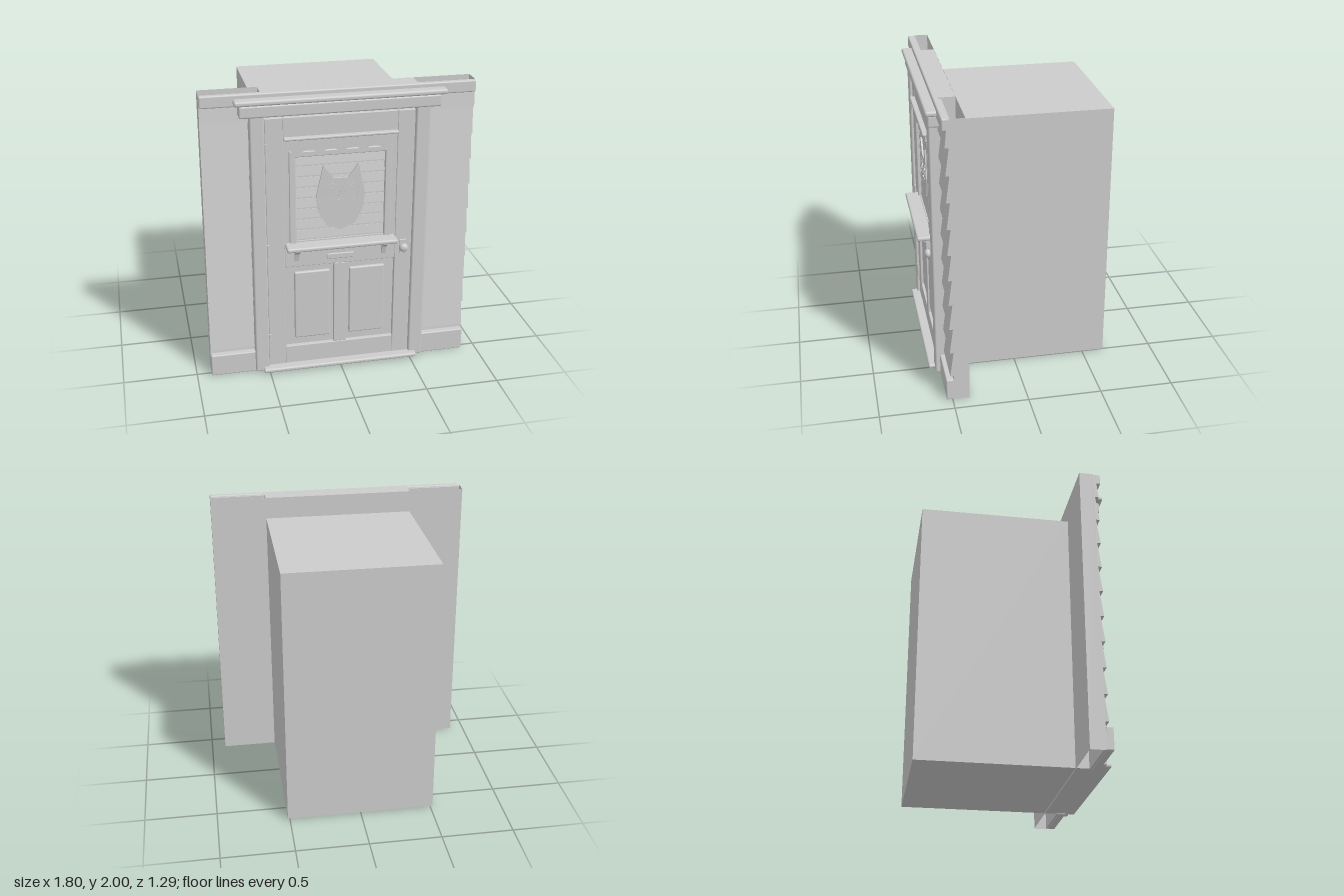
import * as THREE from 'three';
import { RoundedBoxGeometry } from 'three/addons/geometries/RoundedBoxGeometry.js';

export function createModel() {
  const root = new THREE.Group();
  const grey = new THREE.MeshStandardMaterial({ color: 0xcccccc, side: THREE.DoubleSide });
  grey.name = 'plain grey';

  const add = (name, geo) => {
    const m = new THREE.Mesh(geo, grey);
    m.name = name;
    root.add(m);
    return m;
  };
  // boxes given by their limits; r rounds the edges
  const box = (name, x0, x1, y0, y1, z0, z1, r = 0) => {
    const s = [x1 - x0, y1 - y0, z1 - z0];
    const geo = r ? new RoundedBoxGeometry(...s, 2, r) : new THREE.BoxGeometry(...s);
    geo.translate((x0 + x1) / 2, (y0 + y1) / 2, (z0 + z1) / 2);
    return add(name, geo);
  };
  const plate = (name, shape, z, depth) =>
    add(name, new THREE.ExtrudeGeometry(shape, { depth, bevelEnabled: false, curveSegments: 8 }).translate(0, 0, z));
  // (z, y) profile swept along x
  const sweepX = (name, pts, x0, x1) => {
    const geo = new THREE.ExtrudeGeometry(new THREE.Shape(pts.map(p => new THREE.Vector2(...p))),
      { depth: x1 - x0, bevelEnabled: false });
    return add(name, geo.rotateY(-Math.PI / 2).translate(x1, 0, 0));
  };

  // room behind the wall and the core behind the door
  box('room', -0.515, 0.515, 0.01, 1.85, -0.65, 0.385);
  box('doorCore', -0.515, 0.515, 0.01, 2, 0.386, 0.51);

  // hollow wall: back sheet and two end sheets, open at top and bottom
  add('wallBack', new THREE.PlaneGeometry(1.8, 2).rotateY(Math.PI).translate(0, 1, 0.385));
  for (const s of [-1, 1]) {
    add('wallEnd', new THREE.PlaneGeometry(0.1, 2).rotateY(s * Math.PI / 2).translate(s * 0.9, 1, 0.435));
  }

  // overlapping clapboards
  const saw = [[0.475, 0.005], [0.505, 0.005]];
  for (let i = 0; i < 10; i++) {
    const y = 0.185 + i * 0.181;
    saw.push([0.488, y], [0.513, y]);
  }
  saw.push([0.495, 1.99], [0.475, 1.99]);
  for (const [a, b] of [[-0.9, -0.5], [0.5, 0.9]]) {
    sweepX('clapboards', saw, a, b);
    box('baseTrim', a, b, 0, 0.155, 0.49, 0.54, 0.008);
  }
  box('topTrim', -0.9, 0.9, 1.92, 2, 0.49, 0.53, 0.01);

  // door casing, header and threshold
  box('casing', -0.595, -0.5, 0.01, 1.87, 0.48, 0.572, 0.012);
  box('casing', 0.492, 0.59, 0.01, 1.87, 0.48, 0.572, 0.012);
  box('headerBeam', -0.66, 0.655, 1.855, 1.935, 0.48, 0.582, 0.012);
  box('headerCap', -0.69, 0.69, 1.937, 1.972, 0.465, 0.6, 0.014);
  box('threshold', -0.545, 0.54, 0.015, 0.045, 0.49, 0.615, 0.012);

  // door stiles, rails and panels
  box('doorSlab', -0.5, 0.495, 0.03, 1.86, 0.5, 0.522);
  box('stile', -0.498, -0.38, 0.03, 1.838, 0.51, 0.552, 0.004);
  box('stile', 0.376, 0.49, 0.03, 1.838, 0.51, 0.552, 0.004);
  for (const [y0, y1] of [[0.03, 0.175], [0.785, 0.935], [1.7, 1.838]])
    box('rail', -0.38, 0.376, y0, y1, 0.51, 0.55, 0.004);
  box('muntin', -0.045, 0.04, 0.175, 0.785, 0.51, 0.55, 0.004);
  for (const x of [-0.315, 0.065])
    box('raisedPanel', x, x + 0.245, 0.23, 0.735, 0.51, 0.542, 0.01);

  // window frame with slatted blind
  const frame = new THREE.Shape([[-0.38, 0.935], [0.376, 0.935], [0.376, 1.7], [-0.38, 1.7]].map(p => new THREE.Vector2(...p)));
  frame.holes.push(new THREE.Path([[-0.3, 0.97], [-0.3, 1.57], [0.297, 1.57], [0.297, 0.97]].map(p => new THREE.Vector2(...p))));
  plate('windowFrame', frame, 0.515, 0.029);
  for (const x of [-0.345, 0.297]) box('windowBead', x, x + 0.043, 0.955, 1.61, 0.53, 0.556, 0.006);
  box('windowBead', -0.345, 0.34, 1.567, 1.605, 0.53, 0.556, 0.006);
  for (let i = 0; i < 8; i++) {
    const y = 0.972 + i * 0.075;
    sweepX('blindSlat', [[0.518, y], [0.536, y], [0.536, y + 0.008], [0.526, y + 0.068], [0.518, y + 0.068]], -0.3, 0.297);
  }

  // scalloped valance under its rail
  box('valanceRail', -0.38, 0.375, 1.69, 1.708, 0.54, 0.585, 0.007);
  const valance = new THREE.Shape();
  valance.moveTo(-0.36, 1.69);
  valance.lineTo(-0.36, 1.645);
  for (let i = 0; i < 5; i++) {
    const x = -0.36 + i * 0.144;
    valance.bezierCurveTo(x + 0.025, 1.585, x + 0.119, 1.585, x + 0.144, 1.648);
  }
  valance.lineTo(0.36, 1.69);
  plate('valance', valance, 0.556, 0.012);

  // owl cut-out with eyes and beak
  const half = [[0.048, 1.4], [0.118, 1.495], [0.165, 1.275], [0.145, 1.16], [0.095, 1.07], [0, 1.03]];
  const owl = half.concat(half.slice(0, -1).reverse().map(([x, y]) => [-x, y]));
  plate('owl', new THREE.Shape(owl.map(p => new THREE.Vector2(...p))), 0.534, 0.012);
  for (const s of [-1, 1]) {
    for (const [r0, r1] of [[0.054, 0.06], [0, 0.034]]) {
      const eye = new THREE.Shape().absarc(s * 0.065, 1.305, r1, 0, Math.PI * 2);
      if (r0) eye.holes.push(new THREE.Path().absarc(s * 0.065, 1.305, r0, 0, Math.PI * 2, true));
      plate('owlEye', eye, 0.546, 0.003);
    }
  }
  plate('owlBeak', new THREE.Shape([[-0.02, 1.25], [0, 1.205], [0.02, 1.25]].map(p => new THREE.Vector2(...p))), 0.546, 0.004);

  // window shelf on two brackets
  box('windowShelf', -0.378, 0.373, 0.932, 0.962, 0.53, 0.645, 0.012);
  for (const x of [-0.314, 0.282])
    sweepX('shelfBracket', [[0.54, 0.83], [0.558, 0.83], [0.572, 0.885], [0.62, 0.92], [0.62, 0.935], [0.54, 0.935]], x, x + 0.028);

  // mail slot, knob and hinges
  box('mailSlot', -0.095, 0.09, 0.823, 0.862, 0.54, 0.56, 0.005);
  box('knobPlate', 0.408, 0.455, 0.815, 0.92, 0.54, 0.558, 0.004);
  add('knobStem', new THREE.CylinderGeometry(0.013, 0.013, 0.05, 16).rotateX(Math.PI / 2).translate(0.43, 0.87, 0.565));
  add('knob', new THREE.SphereGeometry(0.03, 24, 16).scale(1, 1, 0.75).translate(0.43, 0.87, 0.583));
  for (const y of [0.19, 0.865, 1.57])
    add('hinge', new THREE.CylinderGeometry(0.01, 0.01, 0.1, 12).translate(-0.493, y + 0.05, 0.557));

  return root;
}
